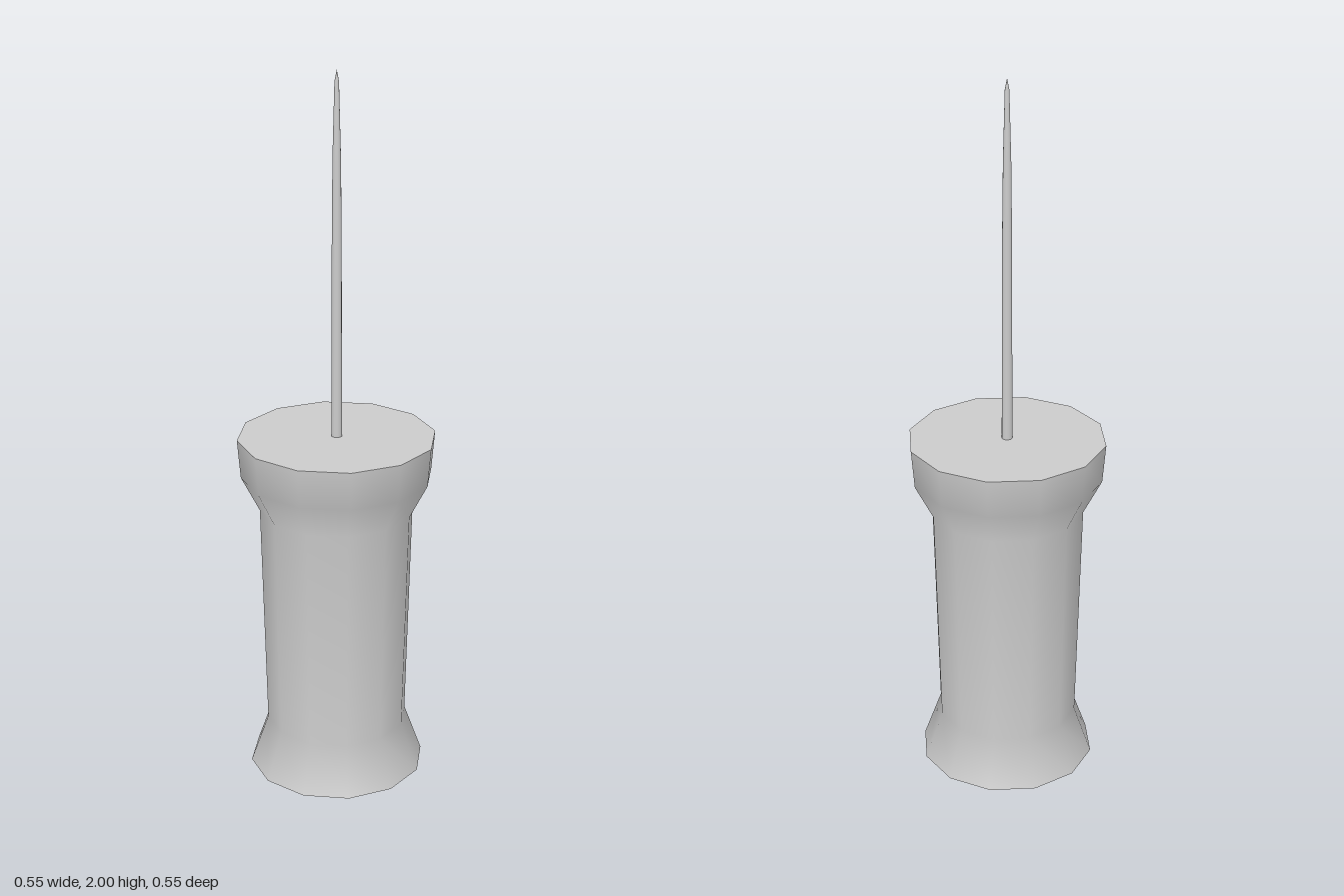
import * as THREE from 'three';

const SIDES = 12;

export function createModel() {
  const group = new THREE.Group();
  const material = new THREE.MeshStandardMaterial({ color: 0xcccccc });

  const add = (name, geometry) => {
    const mesh = new THREE.Mesh(geometry, material);
    mesh.name = name;
    group.add(mesh);
    return mesh;
  };

  // Turned surface from [radius, height] points, listed bottom to top
  const turned = (name, points) =>
    add(name, new THREE.LatheGeometry(points.map(([r, y]) => new THREE.Vector2(r, y)), SIDES));

  // Flat end cap facing up (1) or down (-1)
  const cap = (name, radius, y, facing) => {
    const mesh = add(name, new THREE.CircleGeometry(radius, SIDES));
    mesh.rotation.x = -facing * Math.PI / 2;
    mesh.position.y = y;
  };

  // Grip: flared foot, slightly tapered waist and wide collar
  turned('grip', [[0.25, 0], [0.2, 0.14], [0.215, 0.79], [0.266, 0.89], [0.275, 1]]);
  cap('gripEnd', 0.25, 0, -1);
  cap('collarFace', 0.275, 1, 1);

  // Needle tapering in stages to a point
  turned('needle', [[0.015, 1], [0.013, 1.6], [0.011, 1.78], [0.006, 1.97], [0, 2]]);

  return group;
}
